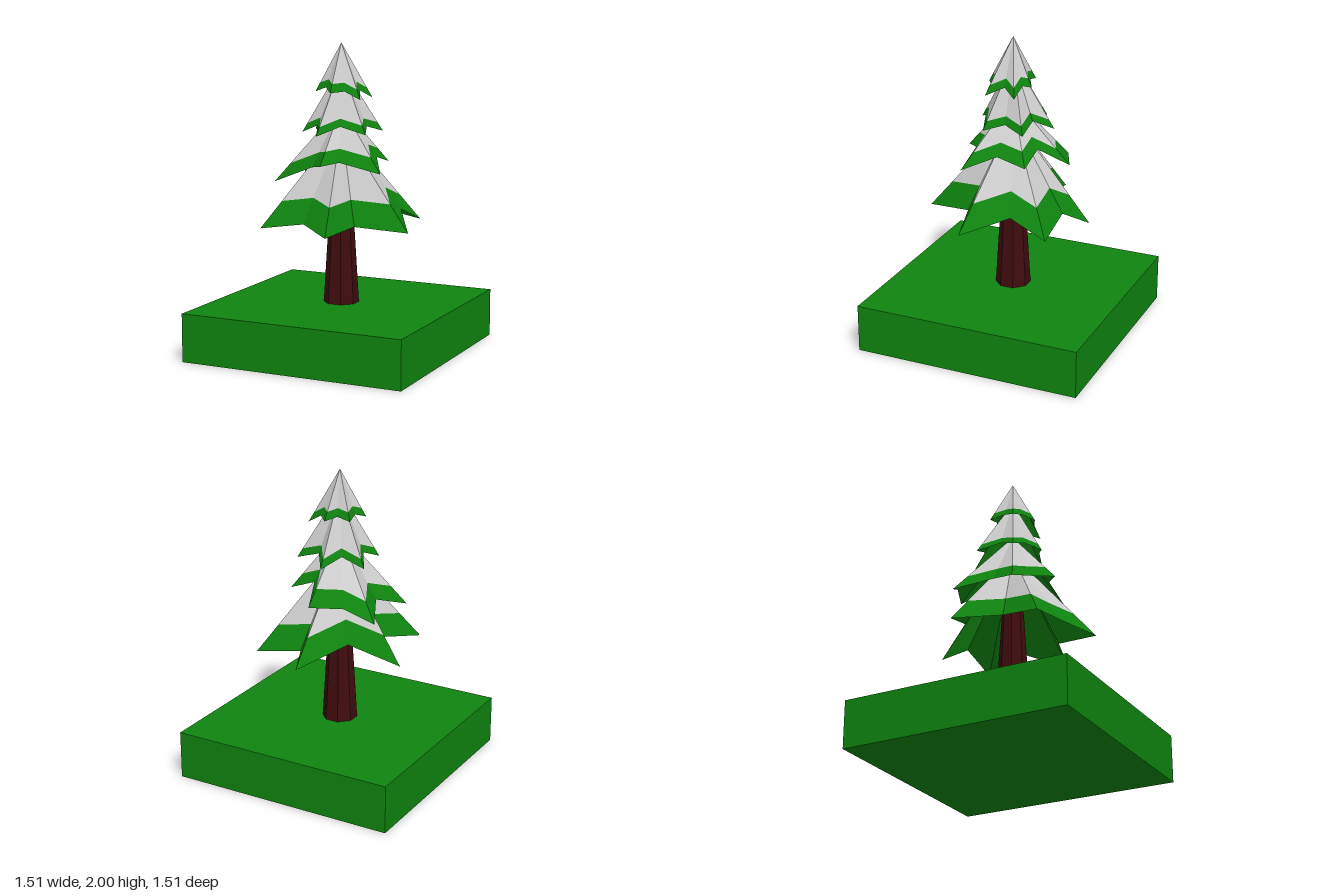
import * as THREE from 'three';

const GREEN = 0x0f840f, BROWN = 0x3f0c0e, SNOW = 0xcccccc;

function part(name, geometry, color, side = THREE.FrontSide) {
  const mesh = new THREE.Mesh(geometry, new THREE.MeshStandardMaterial({ color, side, flatShading: true }));
  mesh.name = name;
  return mesh;
}

// Faceted skin between two closed rings of points
function skin(lower, upper) {
  const pos = [];
  const tri = (...pts) => pts.forEach((p) => pos.push(p.x, p.y, p.z));
  lower.forEach((a, i) => {
    const j = (i + 1) % lower.length;
    tri(a, upper[i], lower[j]);
    if (upper[i] !== upper[j]) tri(lower[j], upper[i], upper[j]);
  });
  const g = new THREE.BufferGeometry();
  g.setAttribute('position', new THREE.Float32BufferAttribute(pos, 3));
  g.computeVertexNormals();
  return g;
}

// Star-shaped bough tier: green rim, snow above it, green lining below
function tier(name, { apex, snow, rim }) {
  const top = new THREE.Vector3(0, apex, 0);
  const edge = rim.map((p) => new THREE.Vector3(...p));
  const line = edge.map((p) => top.clone().lerp(p, snow));
  const tops = edge.map(() => top);
  const group = new THREE.Group();
  group.name = name;
  group.add(
    part('greenRim', skin(edge, line), GREEN, THREE.DoubleSide),
    part('snowCap', skin(line, tops), SNOW),
    part('greenLining', skin(line, tops), GREEN, THREE.BackSide),
  );
  return group;
}

// Rims alternate tip, valley around the trunk; snow = where the snow line
// lies between apex (0) and rim (1)
const TIERS = {
  bottomTier: {
    apex: 1.47, snow: 0.736,
    rim: [
      [0.53, 0.83, 0.14], [0.2, 0.86, 0.23], [0.14, 0.83, 0.525], [-0.08, 0.88, 0.385],
      [-0.39, 0.83, 0.38], [-0.28, 0.9, 0.08], [-0.525, 0.83, -0.155], [-0.2, 0.94, -0.24],
      [0.01, 0.83, -0.535], [0.07, 0.89, -0.375], [0.39, 0.83, -0.39], [0.36, 0.93, -0.14],
    ],
  },
  lowerMiddleTier: {
    apex: 1.6, snow: 0.76,
    rim: [
      [0.365, 1.2, 0.2], [0.09, 1.26, 0.22], [0, 1.24, 0.31], [-0.1, 1.22, 0.22],
      [-0.38, 1.11, 0.2], [-0.265, 1.18, 0], [-0.38, 1.11, -0.23], [-0.2, 1.2, -0.3],
      [0, 1.2, -0.39], [0.07, 1.3, -0.2], [0.25, 1.23, -0.19], [0.25, 1.28, 0],
    ],
  },
  upperMiddleTier: {
    apex: 1.86, snow: 0.87,
    rim: [
      [0.22, 1.43, 0.11], [0.07, 1.48, 0.16], [-0.06, 1.42, 0.245], [-0.1, 1.48, 0.14],
      [-0.22, 1.43, 0.12], [-0.17, 1.48, 0], [-0.25, 1.42, -0.13], [-0.1, 1.48, -0.15],
      [-0.02, 1.42, -0.275], [0.06, 1.48, -0.16], [0.22, 1.43, -0.16], [0.17, 1.47, -0.02],
    ],
  },
  topTier: {
    apex: 2, snow: 0.82,
    rim: [
      [0.185, 1.65, 0.11], [0.08, 1.7, 0.12], [0, 1.69, 0.165], [-0.06, 1.72, 0.1],
      [-0.145, 1.69, 0.08], [-0.11, 1.72, 0], [-0.13, 1.7, -0.1], [-0.04, 1.72, -0.1],
      [0.03, 1.69, -0.14], [0.08, 1.71, -0.1], [0.18, 1.65, -0.085], [0.13, 1.7, 0],
    ],
  },
};

export function createModel() {
  const model = new THREE.Group();
  model.name = 'snowyTree';

  // Square block of ground
  const ground = part('groundBlock', new THREE.BoxGeometry(1.51, 0.315, 1.51), GREEN);
  ground.position.y = 0.1575;

  // Tapered eight-sided trunk running up inside the boughs
  const trunk = part('trunk', new THREE.CylinderGeometry(0.06, 0.115, 0.9, 8), BROWN);
  trunk.rotation.y = Math.PI / 8;
  trunk.position.y = 0.315 + 0.45;

  model.add(ground, trunk);
  for (const [name, spec] of Object.entries(TIERS)) model.add(tier(name, spec));
  return model;
}
